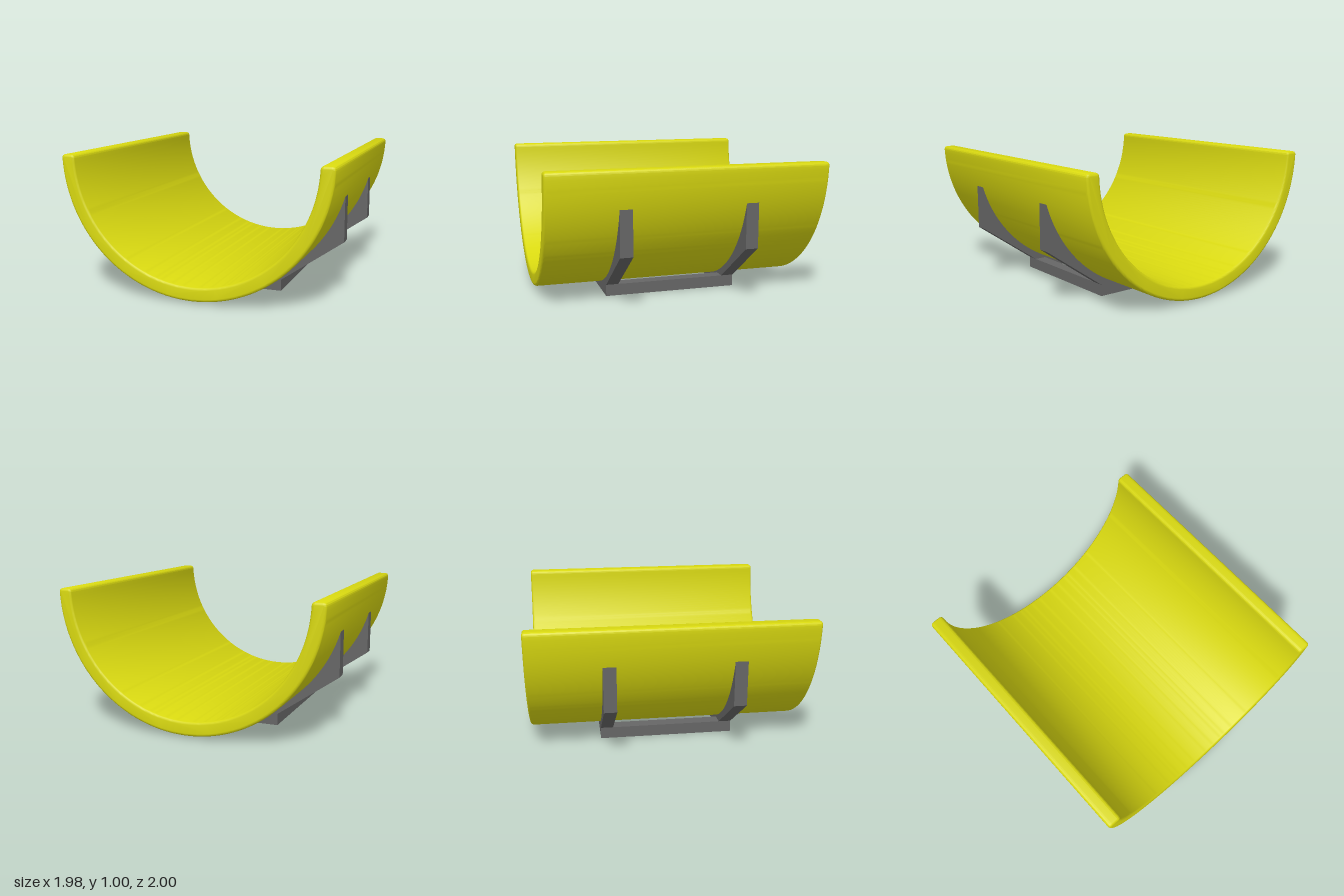
import * as THREE from 'three';
import { toCreasedNormals } from 'three/addons/utils/BufferGeometryUtils.js';

const CY = 1.004;      // height of the trough axis
const RO = 0.99;       // outer radius
const RI = 0.886;      // inner radius
const TOP = 0.995;     // rim height

// Half-ring section with softened rim corners
function troughShape() {
  const r = 0.03;
  const ao = Math.asin((CY - TOP + r) / RO);
  const ai = Math.asin((CY - TOP + r) / RI);
  const xo = RO * Math.cos(ao), xi = RI * Math.cos(ai);
  const s = new THREE.Shape();
  s.absarc(0, CY, RO, Math.PI + ao, 2 * Math.PI - ao, false);
  s.quadraticCurveTo(RO, TOP, xo - r, TOP);
  s.lineTo(xi + r, TOP);
  s.quadraticCurveTo(RI, TOP, xi, CY - RI * Math.sin(ai));
  s.absarc(0, CY, RI, 2 * Math.PI - ai, Math.PI + ai, true);
  s.quadraticCurveTo(-RI, TOP, -xi - r, TOP);
  s.lineTo(-xo + r, TOP);
  s.quadraticCurveTo(-RO, TOP, -xo, CY - RO * Math.sin(ao));
  return s;
}

// Saddle rib: flat foot, sloped arms and an arc that hugs the trough
function ribShape() {
  const x = 0.95, R = RO - 0.004;
  const a = Math.acos(x / R);
  const s = new THREE.Shape();
  s.moveTo(-0.497, 0);
  s.lineTo(0.497, 0);
  s.lineTo(0.497, 0.085);
  s.lineTo(x, 0.4);
  s.lineTo(x, CY - R * Math.sin(a));
  s.absarc(0, CY, R, 2 * Math.PI - a, Math.PI + a, true);
  s.lineTo(-x, 0.4);
  s.lineTo(-0.497, 0.085);
  return s;
}

export function createModel() {
  const model = new THREE.Group();
  model.name = 'troughOnStand';
  const yellow = new THREE.MeshStandardMaterial({ color: 0xd8d810 });
  const grey = new THREE.MeshStandardMaterial({ color: 0x666666 });

  // Trough with rounded end edges
  const bevel = 0.02;
  const troughGeo = new THREE.ExtrudeGeometry(troughShape(), {
    depth: 2 - 2 * bevel, curveSegments: 64,
    bevelEnabled: true, bevelThickness: bevel, bevelSize: bevel, bevelOffset: -bevel, bevelSegments: 4,
  });
  troughGeo.translate(0, 0, -1 + bevel);
  const trough = new THREE.Mesh(toCreasedNormals(troughGeo, 0.6), yellow);
  trough.name = 'trough';
  model.add(trough);

  // Stand: two ribs joined by two foot bars into an open square frame
  const stand = new THREE.Group();
  stand.name = 'stand';
  stand.position.z = 0.01;
  const w = 0.091, half = 0.495;
  const ribGeo = toCreasedNormals(new THREE.ExtrudeGeometry(ribShape(), {
    depth: w, curveSegments: 64, bevelEnabled: false,
  }), 0.3);
  const barGeo = new THREE.BoxGeometry(w, 0.085, 2 * (half - w));
  for (const side of [1, -1]) {
    const rib = new THREE.Mesh(ribGeo, grey);
    rib.name = side > 0 ? 'frontRib' : 'backRib';
    rib.position.z = side > 0 ? half - w : -half;
    const bar = new THREE.Mesh(barGeo, grey);
    bar.name = side > 0 ? 'leftFootBar' : 'rightFootBar';
    bar.position.set(side * (0.497 - w / 2), 0.0425, 0);
    stand.add(rib, bar);
  }
  model.add(stand);
  return model;
}
